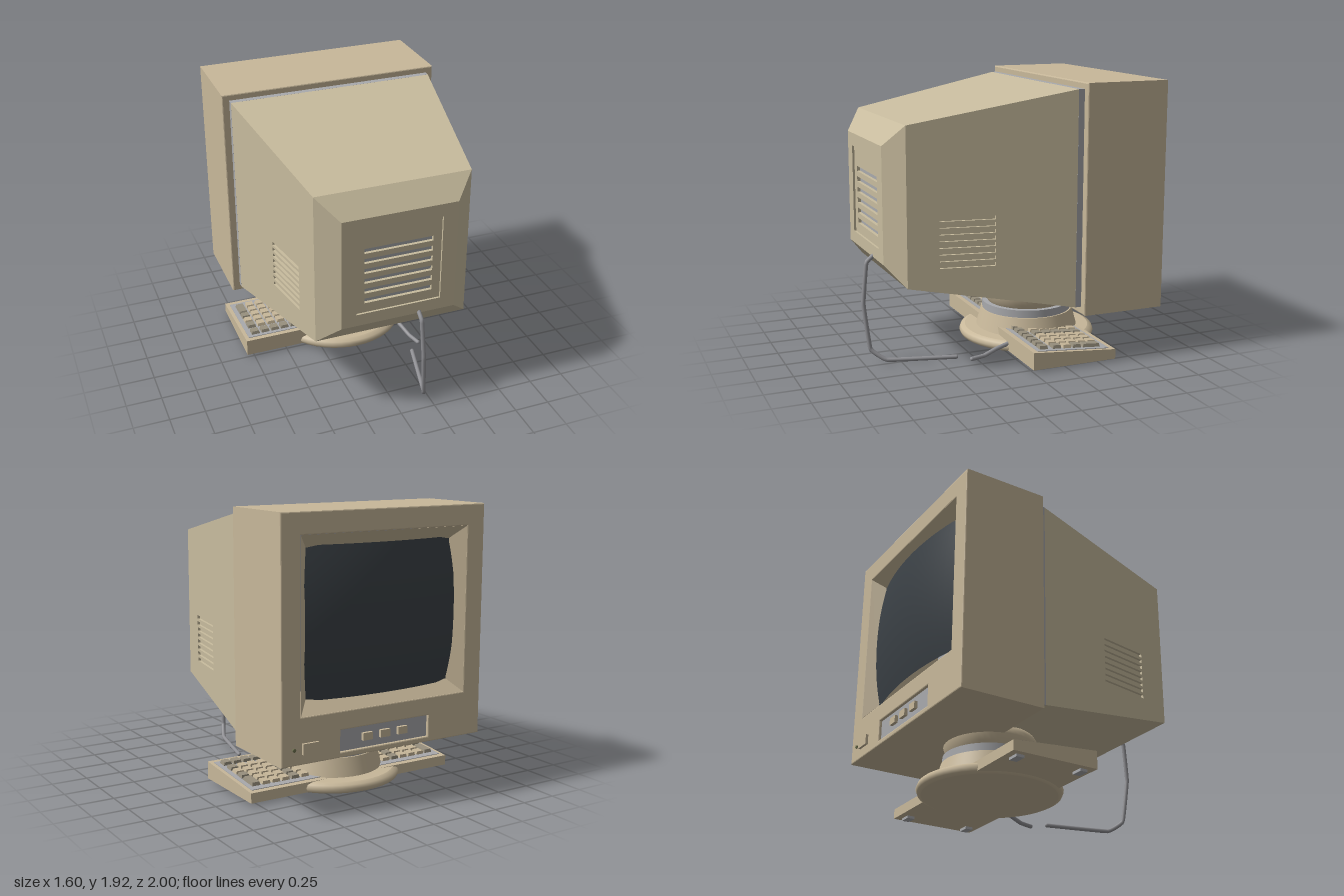
import * as THREE from 'three';

const mat = (name, color, side = THREE.FrontSide) => {
  const m = new THREE.MeshStandardMaterial({ color, side });
  m.name = name;
  return m;
};

export function createModel() {
  const model = new THREE.Group();
  const beige = mat('case beige', 0xc8b89a);
  const shellTone = mat('shell beige', 0xc8bc9e, THREE.DoubleSide);
  const grey = mat('trim grey', 0xa9aaad);
  const glass = mat('screen glass', 0x3b4146);
  const keyDark = mat('dark key', 0x99917f);
  const cordGrey = mat('cord grey', 0x909094);
  const led = mat('indicator', 0x6f7350);

  const add = (name, geo, material, x = 0, y = 0, z = 0, parent = model) => {
    const m = new THREE.Mesh(geo, material);
    m.name = name;
    m.position.set(x, y, z);
    parent.add(m);
    return m;
  };
  const box = (w, h, d) => new THREE.BoxGeometry(w, h, d);
  const rect = (x0, x1, y0, y1, Type = THREE.Path) =>
    new Type([[x0, y0], [x1, y0], [x1, y1], [x0, y1]].map(p => new THREE.Vector2(...p)));
  const extrude = (shape, depth, bevel = 0) => new THREE.ExtrudeGeometry(shape, {
    depth, bevelEnabled: bevel > 0, bevelSize: bevel, bevelThickness: bevel, bevelOffset: -bevel, bevelSegments: 2,
  });
  // Quads joining two rectangles [halfWidth, y0, y1, z]; edges: bottom, right, top, left
  const frustum = (a, b, edges = [0, 1, 2, 3]) => {
    const ring = ([w, y0, y1, z]) => [[-w, y0, z], [w, y0, z], [w, y1, z], [-w, y1, z]];
    const A = ring(a), B = ring(b), pos = [];
    for (const i of edges) {
      const j = (i + 1) % 4;
      pos.push(...A[i], ...A[j], ...B[j], ...A[i], ...B[j], ...B[i]);
    }
    const g = new THREE.BufferGeometry();
    g.setAttribute('position', new THREE.Float32BufferAttribute(pos, 3));
    g.computeVertexNormals();
    return g;
  };

  // Front housing with screen and control openings (screen faces -z)
  const face = rect(-0.787, 0.787, 0.348, 1.923, THREE.Shape);
  face.holes.push(rect(-0.645, 0.645, 0.655, 1.78), rect(-0.35, 0.35, 0.385, 0.53));
  add('frontHousing', extrude(face, 0.584, 0.008), beige, 0, 0, -0.972);
  add('screenSurround', frustum([0.56, 0.74, 1.695, -0.895], [0.645, 0.655, 1.78, -0.979]), beige);

  // Bulging screen
  const tube = new THREE.PlaneGeometry(1.17, 0.98, 20, 18);
  const tp = tube.attributes.position;
  for (let i = 0; i < tp.count; i++) {
    const x = tp.getX(i), y = tp.getY(i);
    tp.setZ(i, -0.2 * (x * x + y * y));
  }
  tube.computeVertexNormals();
  tube.rotateY(Math.PI);
  add('screen', tube, glass, 0, 1.217, -1);

  // Controls under the screen
  add('controlPanel', box(0.72, 0.16, 0.02), grey, 0, 0.4575, -0.95);
  for (const x of [-0.14, 0, 0.14]) add('controlButton', box(0.075, 0.05, 0.03), beige, x, 0.46, -0.968);
  add('powerButton', box(0.12, 0.07, 0.03), beige, 0.58, 0.452, -0.983);
  add('powerLight', new THREE.CylinderGeometry(0.012, 0.012, 0.02, 12).rotateX(Math.PI / 2), led, 0.698, 0.452, -0.98);

  // Rear shell: trim band, tapered body, chamfer
  add('trimBand', box(0.735 * 2, 1.48, 0.06), grey, 0, 1.14, -0.368);
  const s0 = [0.735, 0.4, 1.88, -0.34], s1 = [0.54, 0.6, 1.675, 0.79], s2 = [0.4, 0.74, 1.53, 0.91];
  add('shellTopAndBottom', frustum(s0, s1, [0, 2]), shellTone);
  add('shellChamfer', frustum(s1, s2), shellTone);

  // Shell sides with vent slots
  const dx = s0[0] - s1[0], dz = s1[3] - s0[3], len = Math.hypot(dx, dz);
  const along = z => (z - s0[3]) / dz * len;
  for (const side of [1, -1]) {
    const shape = new THREE.Shape([[0, s0[1]], [len, s1[1]], [len, s1[2]], [0, s0[2]]]
      .map(([s, y]) => new THREE.Vector2(-side * s, y)));
    const [u, v] = [-side * along(0.21), -side * along(0.58)];
    for (let i = 0; i < 8; i++) {
      const y = 0.738 + i * 0.045;
      shape.holes.push(rect(u, v, y - 0.013, y + 0.013));
    }
    const panel = new THREE.Group();
    panel.name = side > 0 ? 'leftShellSide' : 'rightShellSide';
    panel.position.set(side * s0[0], 0, s0[3]);
    panel.rotation.y = side * Math.atan2(dz, dx);
    model.add(panel);
    add('ventedSide', extrude(shape, 0.025).translate(0, 0, -0.025), shellTone, 0, 0, 0, panel);
    add('ventBacking', box(0.42, 0.4, 0.008), shellTone, (u + v) / 2, 0.895, -0.023, panel);
  }

  // Rear face with recessed slotted vent panel
  const rear = rect(-0.4, 0.4, 0.74, 1.53, THREE.Shape);
  rear.holes.push(rect(-0.297, 0.297, 0.825, 1.44));
  add('rearFace', extrude(rear, 0.02), shellTone, 0, 0, 0.89);
  const grille = rect(-0.3, 0.3, 0.82, 1.445, THREE.Shape);
  for (let i = 0; i < 6; i++) {
    const y = 0.912 + i * 0.0745;
    grille.holes.push(rect(-0.238, 0.238, y - 0.018, y + 0.018));
  }
  add('rearGrille', extrude(grille, 0.025), shellTone, 0, 0, 0.87);
  add('grilleBacking', box(0.56, 0.58, 0.008), grey, 0, 1.13, 0.868);

  // Tilt and swivel stand
  const lathe = (name, pts, material) => add(name,
    new THREE.LatheGeometry(pts.map(p => new THREE.Vector2(...p)), 48), material, 0, 0, -0.305);
  lathe('footUnderside', [[0, 0.008], [0.46, 0.008]], beige);
  lathe('footDisc', [[0.46, 0.008], [0.485, 0.02], [0.495, 0.045], [0.485, 0.07], [0.455, 0.083]], beige);
  lathe('footTop', [[0.455, 0.083], [0.36, 0.088]], beige);
  lathe('standCone', [[0.37, 0.085], [0.335, 0.215]], beige);
  lathe('standConeTop', [[0.335, 0.215], [0.2, 0.215]], beige);
  add('swivelRing', new THREE.CylinderGeometry(0.325, 0.325, 0.055, 48), grey, 0, 0.243, -0.305);
  lathe('tiltBowl', [[0.285, 0.268], [0.305, 0.3], [0.322, 0.35], [0.322, 0.375], [0.3, 0.41], [0.25, 0.445]], beige);
  lathe('tiltBowlTop', [[0.25, 0.445], [0, 0.45]], beige);

  // Wedge keyboard, tall edge at z = 0
  const wedge = box(1.604, 1, 0.618);
  const wp = wedge.attributes.position;
  for (let i = 0; i < wp.count; i++)
    wp.setY(i, wp.getY(i) < 0 ? 0.018 : wp.getZ(i) > 0 ? 0.14 : 0.087);
  wedge.computeVertexNormals();
  add('keyboardBody', wedge, beige, 0, 0, -0.309);
  for (const x of [-0.72, 0.72]) for (const z of [-0.075, -0.545])
    add('keyboardFoot', box(0.085, 0.02, 0.055), grey, x, 0.01, z);

  const deck = new THREE.Group();
  deck.name = 'keyDeck';
  deck.position.set(0, 0.14, 0);
  deck.rotation.x = -Math.atan2(0.053, 0.618);
  model.add(deck);
  add('keyBed', box(1.55, 0.006, 0.54), grey, 0, 0.001, -0.31, deck);
  const keyGeo = depth => {
    const g = box(0.063, 0.026, depth), p = g.attributes.position;
    for (let i = 0; i < p.count; i++) if (p.getY(i) > 0) {
      p.setX(i, p.getX(i) * 0.82);
      p.setZ(i, p.getZ(i) * 0.88);
    }
    g.computeVertexNormals();
    return g;
  };
  const normalKey = keyGeo(0.062), longKey = keyGeo(0.135);
  const rowZ = [-0.1, -0.2, -0.277, -0.352, -0.427, -0.502];
  rowZ.forEach((z, r) => {
    for (let c = 0; c < 20; c++) {
      const x = -0.7125 + c * 0.075, edge = c === 0 || c === 19;
      if (Math.hypot(x, z + 0.305) < 0.33 || (edge && r === 5)) continue;
      const tall = edge && r === 4;
      const dark = r === 0 || (edge && r !== 2) || c === 4 || c === 15;
      add('key', tall ? longKey : normalKey, dark ? keyDark : beige, x, 0.014, tall ? z - 0.036 : z, deck);
    }
  });

  // Cords
  const cord = (name, pts) => {
    const curve = new THREE.CatmullRomCurve3(pts.map(p => new THREE.Vector3(...p)), false, 'catmullrom', 0.12);
    add(name, new THREE.TubeGeometry(curve, 60, 0.015, 10), cordGrey);
    for (const [i, n] of [[0, 1], [pts.length - 1, -1]])
      add('cordEnd', new THREE.SphereGeometry(0.015, 10, 6), cordGrey, ...pts[i]);
  };
  cord('monitorCord', [[0.147, 0.75, 0.9], [0.15, 0.7, 0.955], [0.16, 0.42, 0.985],
    [0.185, 0.1, 0.95], [0.235, 0.022, 0.845], [0.35, 0.02, 0.385]]);
  cord('keyboardCord', [[0.435, 0.02, 0.3], [0.41, 0.022, 0.2], [0.385, 0.05, 0.1], [0.36, 0.07, -0.01]]);

  return model;
}
